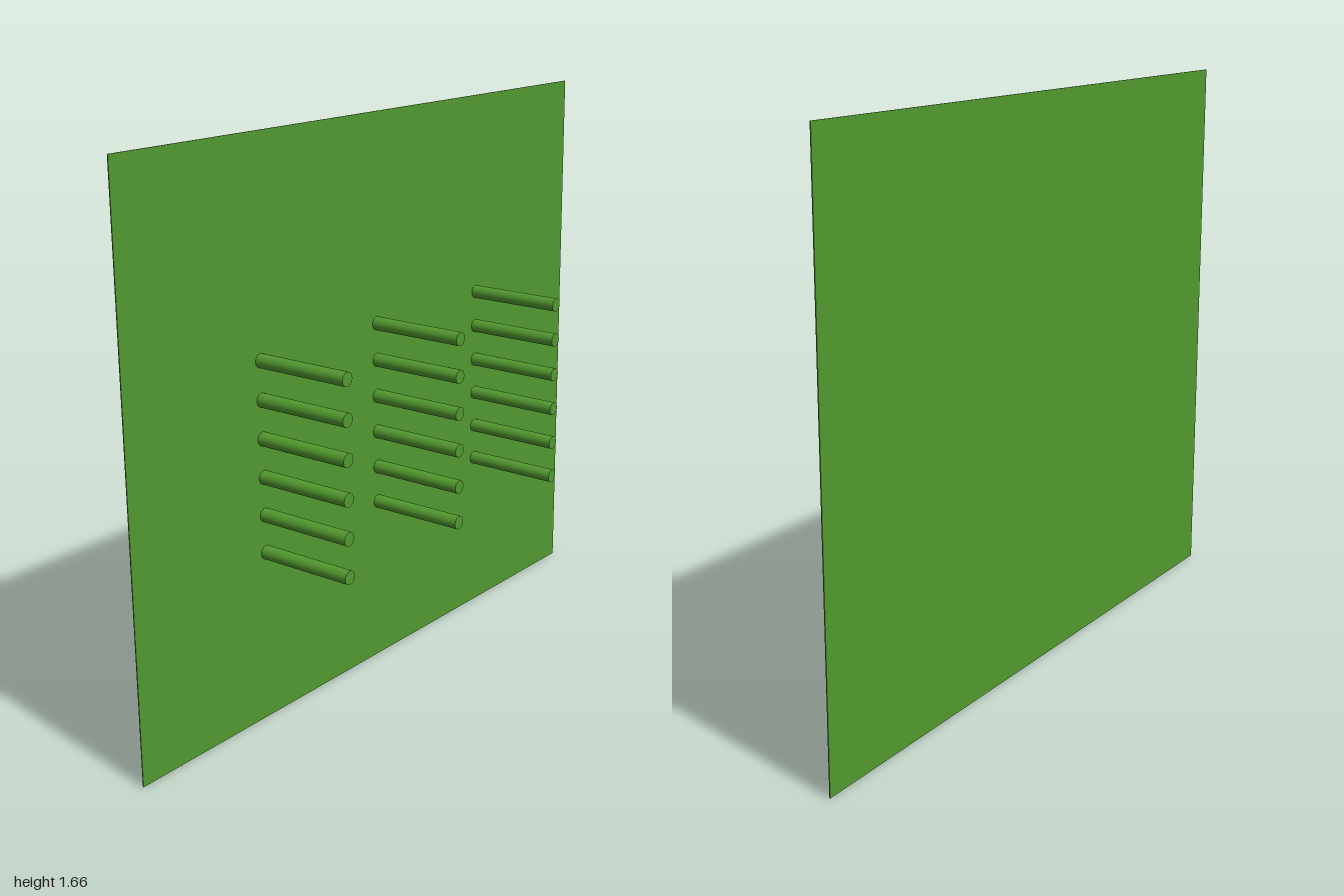
import * as THREE from 'three';

export function createModel() {
  const group = new THREE.Group();
  const green = new THREE.MeshStandardMaterial({ color: 0x52992f });

  const width = 2, height = 1.66, thickness = 0.003;
  const backZ = -0.15, frontZ = 0.15, pegRadius = 0.02;

  // Thin upright board
  const board = new THREE.Mesh(new THREE.BoxGeometry(width, height, thickness), green);
  board.name = 'backBoard';
  board.position.set(0, height / 2, backZ);
  group.add(board);

  // Three columns of six round pegs pointing forward
  const pegLength = frontZ - backZ;
  const pegGeometry = new THREE.CylinderGeometry(pegRadius, pegRadius, pegLength, 32);
  pegGeometry.rotateX(Math.PI / 2);
  const columns = { rightPegs: -0.5, middlePegs: 0, leftPegs: 0.5 };
  for (const [name, x] of Object.entries(columns)) {
    const column = new THREE.Group();
    column.name = name;
    for (let row = 0; row < 6; row++) {
      const peg = new THREE.Mesh(pegGeometry, green);
      peg.name = 'peg';
      peg.position.set(x, 0.5 + row * 0.11, (frontZ + backZ) / 2);
      column.add(peg);
    }
    group.add(column);
  }

  return group;
}
